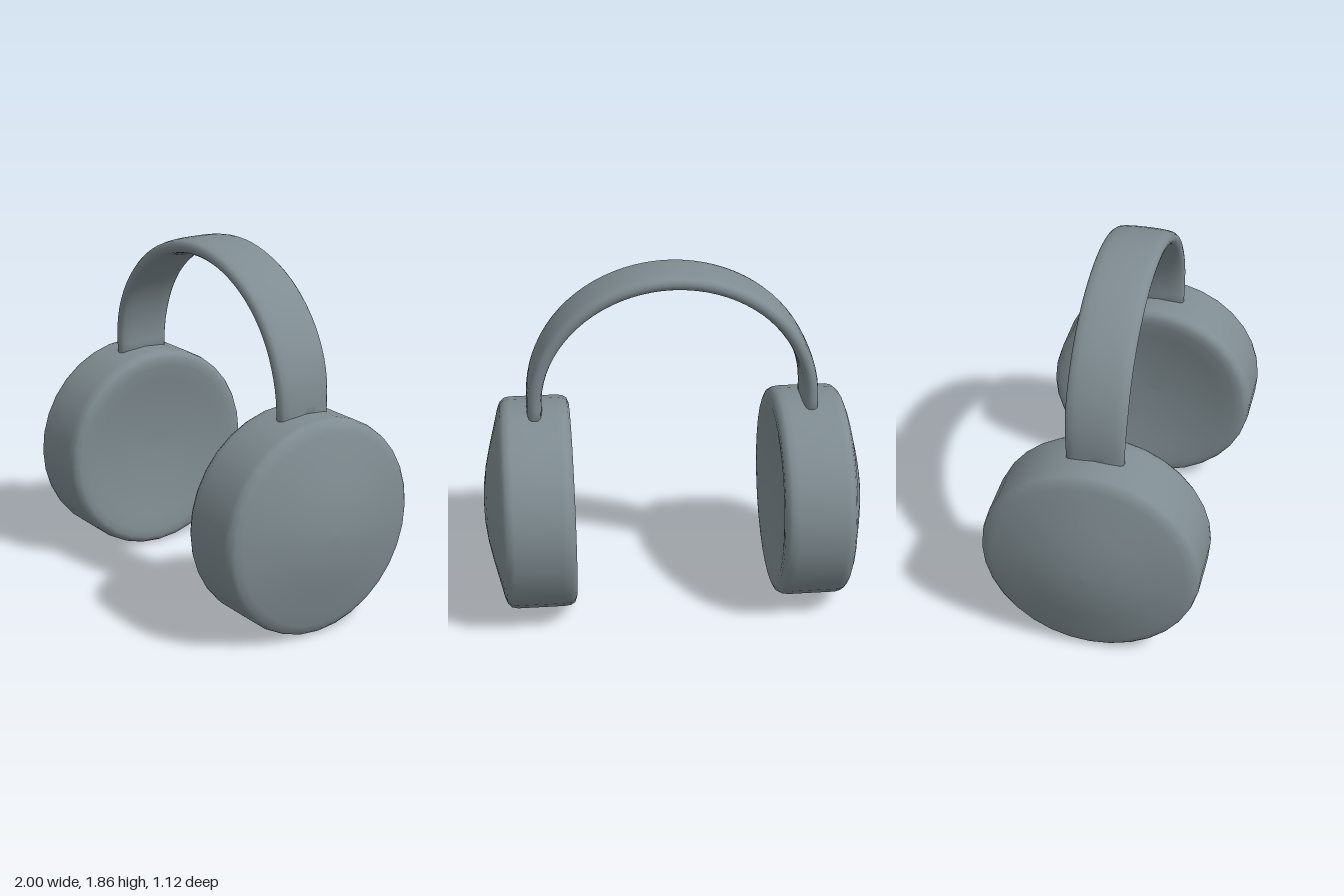
import * as THREE from 'three';

const CUP_Y = 0.565;

// Ear cup: dished pad on the inner side, shallow dome on the outer side.
// Each pair is radius, distance from the middle of the model.
function cupGeometry(side) {
  const profile = [
    [0, 0.585], [0.15, 0.58], [0.3, 0.563], [0.4, 0.545], [0.48, 0.532], [0.52, 0.532], [0.545, 0.543],
    [0.558, 0.565], [0.562, 0.6], [0.562, 0.72], [0.562, 0.845], [0.555, 0.875], [0.535, 0.895],
    [0.5, 0.909], [0.42, 0.929], [0.3, 0.96], [0.2, 0.982], [0.1, 0.996], [0, 1],
  ].map(([r, d]) => new THREE.Vector2(r, d));
  const geometry = new THREE.LatheGeometry(profile, 32);
  geometry.rotateZ(-side * Math.PI / 2);
  return geometry;
}

// Headband: a softly rounded flat section swept along a half ellipse.
function bandGeometry() {
  const quarter = [[0.04, 0], [0.039, 0.06], [0.036, 0.105], [0.03, 0.135], [0.018, 0.15], [0, 0.154]];
  const half = [...quarter, ...quarter.slice(0, -1).reverse().map(([n, z]) => [-n, z])];
  const section = [...half, ...half.slice(1, -1).reverse().map(([n, z]) => [n, -z])];

  // Path stations: straight feet buried in the cups, then the arch
  const a = 0.715, b = 0.66, baseY = 1.16, steps = 40;
  const stations = [{ x: a, y: 1.04, nx: 1, ny: 0 }];
  for (let i = 0; i <= steps; i++) {
    const t = Math.PI * i / steps;
    const normal = new THREE.Vector2(Math.cos(t) / a, Math.sin(t) / b).normalize();
    stations.push({ x: a * Math.cos(t), y: baseY + b * Math.sin(t), nx: normal.x, ny: normal.y });
  }
  stations.push({ x: -a, y: 1.04, nx: -1, ny: 0 });

  const positions = [], indices = [], m = section.length;
  for (const s of stations) {
    const taper = 0.94 + 0.06 * THREE.MathUtils.smoothstep(s.y, 1.05, 1.4);
    for (const [n, z] of section) {
      positions.push(s.x + n * s.nx, s.y + n * s.ny, z * taper);
    }
  }
  for (let i = 0; i < stations.length - 1; i++) {
    for (let j = 0; j < m; j++) {
      const k = (j + 1) % m;
      const p = i * m + j, q = i * m + k, r = p + m, s = q + m;
      indices.push(p, r, q, q, r, s);
    }
  }
  // End caps
  const last = (stations.length - 1) * m;
  for (let j = 1; j < m - 1; j++) {
    indices.push(0, j, j + 1, last, last + j + 1, last + j);
  }
  const geometry = new THREE.BufferGeometry();
  geometry.setAttribute('position', new THREE.Float32BufferAttribute(positions, 3));
  geometry.setIndex(indices);
  geometry.computeVertexNormals();
  return geometry;
}

export function createModel() {
  const model = new THREE.Group();
  model.name = 'headphones';
  const grey = new THREE.MeshStandardMaterial({ color: 0x7f8c91 });
  grey.name = 'blueGrey';

  for (const [name, side] of [['leftEarCup', 1], ['rightEarCup', -1]]) {
    const cup = new THREE.Mesh(cupGeometry(side), grey);
    cup.name = name;
    cup.position.y = CUP_Y;
    model.add(cup);
  }

  const band = new THREE.Mesh(bandGeometry(), grey);
  band.name = 'headband';
  model.add(band);
  return model;
}
